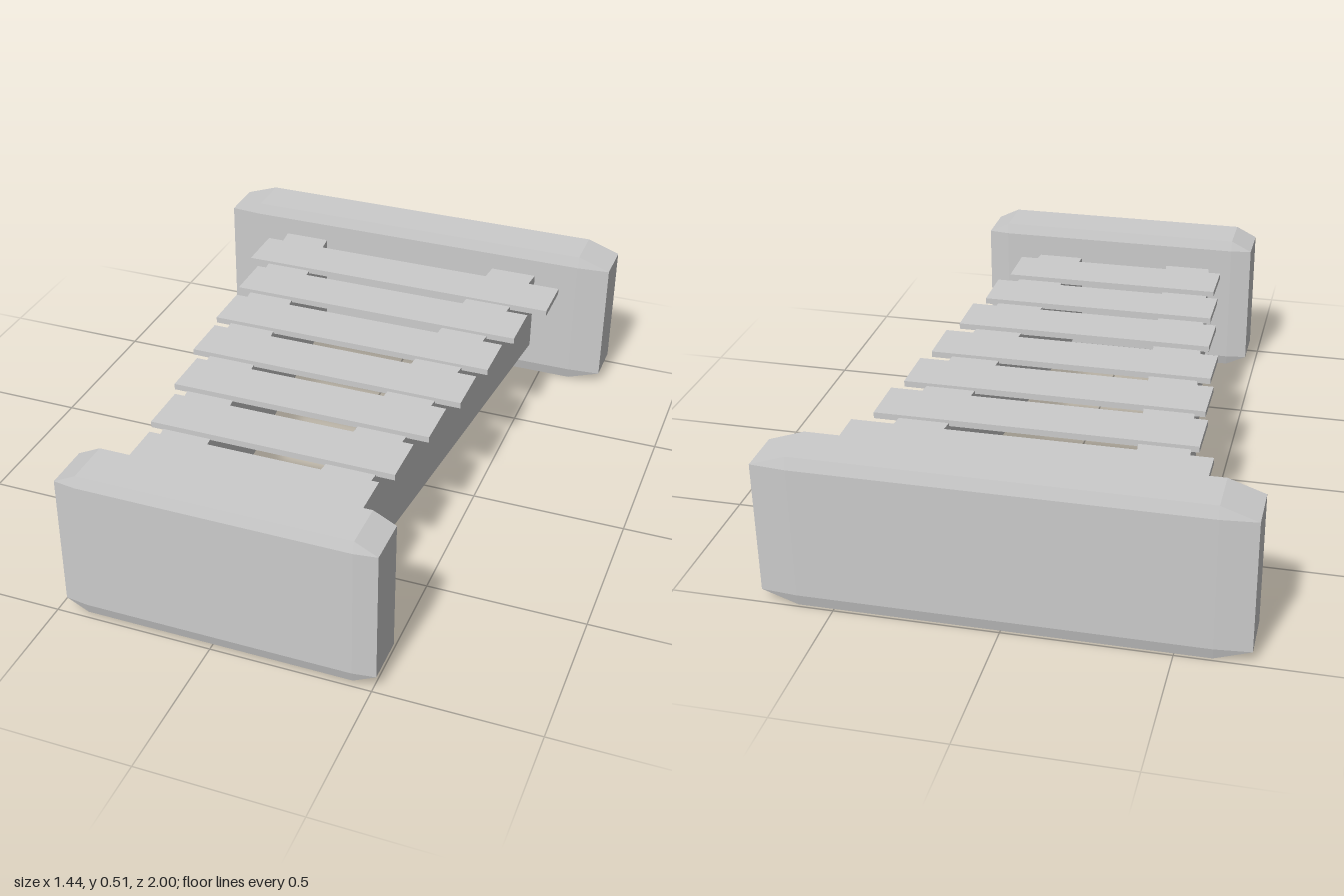
import * as THREE from 'three';
import { ConvexGeometry } from 'three/addons/geometries/ConvexGeometry.js';

const material = new THREE.MeshStandardMaterial({ color: 0xcccccc, flatShading: true });

function addMesh(group, name, geometry) {
  const mesh = new THREE.Mesh(geometry, material);
  mesh.name = name;
  group.add(mesh);
  return mesh;
}

// Upright panel: octagonal outline with slightly raised rectangular faces
function panelGeometry(width, height, thickness, cutX, cutY, raise) {
  const points = [];
  const x = width / 2, y = height / 2, z = thickness / 2;
  for (const sx of [-1, 1]) for (const sy of [-1, 1]) for (const sz of [-1, 1]) {
    points.push(
      new THREE.Vector3(sx * (x - cutX), sy * y, sz * (z - raise)),
      new THREE.Vector3(sx * x, sy * (y - cutY), sz * (z - raise)),
      new THREE.Vector3(sx * (x - cutX), sy * (y - cutY), sz * z)
    );
  }
  return new ConvexGeometry(points);
}

// Beam whose sideways position shifts evenly from back to front
function railGeometry(width, bottom, top, backX, frontX, halfLength) {
  const geometry = new THREE.BoxGeometry(width, top - bottom, halfLength * 2);
  geometry.translate(0, (top + bottom) / 2, 0);
  const p = geometry.attributes.position;
  for (let i = 0; i < p.count; i++) {
    const t = (p.getZ(i) + halfLength) / (2 * halfLength);
    p.setX(i, p.getX(i) + THREE.MathUtils.lerp(backX, frontX, t));
  }
  geometry.computeVertexNormals();
  return geometry;
}

export function createModel() {
  const model = new THREE.Group();
  model.name = 'slattedBed';

  // End panels
  addMesh(model, 'headPanel', panelGeometry(1.44, 0.495, 0.17, 0.11, 0.038, 0.01))
    .position.set(0, 0.25, -0.915);
  addMesh(model, 'footPanel', panelGeometry(0.98, 0.495, 0.17, 0.07, 0.035, 0.01))
    .position.set(0.02, 0.263, 0.915);

  // Side rails converging toward the foot
  addMesh(model, 'rightRail', railGeometry(0.158, 0.065, 0.398, -0.42, -0.239, 0.85));
  addMesh(model, 'leftRail', railGeometry(0.158, 0.115, 0.4, 0.381, 0.234, 0.85));

  // Slats from head to foot: [left end, right end, centre height]
  const slats = [
    [-0.54, 0.565, 0.398],
    [-0.49, 0.512, 0.4],
    [-0.475, 0.486, 0.4],
    [-0.458, 0.463, 0.401],
    [-0.42, 0.432, 0.405],
    [-0.393, 0.4, 0.405],
    [-0.372, 0.369, 0.406]
  ];
  slats.forEach(([x0, x1, y], i) => {
    addMesh(model, `slat${i + 1}`, new THREE.BoxGeometry(x1 - x0, 0.02, 0.17))
      .position.set((x0 + x1) / 2, y, -0.666 + i * 0.2228);
  });

  return model;
}
